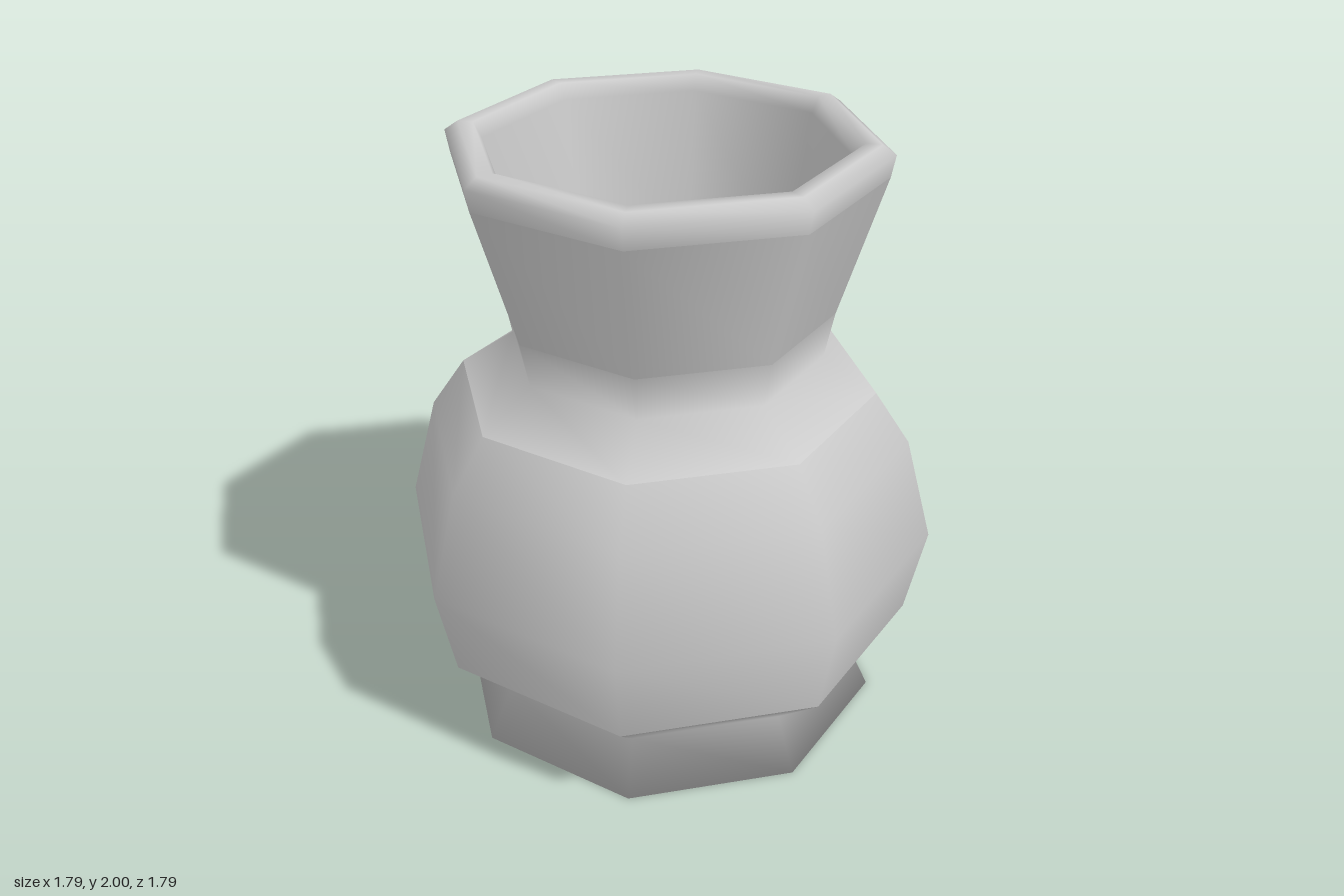
import * as THREE from 'three';

// Eight-sided vase turned from short profiles. Each profile is smooth inside,
// and the breaks between profiles give the sharp creases.
export function createModel() {
  const group = new THREE.Group();
  group.name = 'vase';
  const material = new THREE.MeshStandardMaterial({ color: 0xcccccc, side: THREE.DoubleSide });

  function turn(name, profile) {
    const points = profile.map(([r, y]) => new THREE.Vector2(r, y));
    const mesh = new THREE.Mesh(new THREE.LatheGeometry(points, 8), material);
    mesh.name = name;
    group.add(mesh);
  }

  // Flat base, flared foot and undercut
  turn('foot', [[0, 0], [0.725, 0], [0.64, 0.18], [0.83, 0.35]]);

  // Round body, shoulder and flared neck
  turn('body', [[0.83, 0.35], [0.893, 0.65], [0.8, 1.0], [0.685, 1.17]]);
  turn('shoulder', [[0.685, 1.17], [0.51, 1.29], [0.54, 1.44]]);
  turn('neck', [[0.54, 1.44], [0.68, 1.9]]);

  // Rounded lip running smoothly into the inside of the neck
  turn('rim', [[0.68, 1.9], [0.693, 1.97], [0.65, 2.0], [0.6, 2.0], [0.575, 1.95], [0.49, 1.44], [0.475, 1.29]]);

  // Inside of the body and foot, close behind the outer wall
  turn('bodyInside', [[0.475, 1.29], [0.65, 1.15], [0.76, 0.98], [0.85, 0.65], [0.79, 0.37], [0.6, 0.19]]);
  turn('footInside', [[0.6, 0.19], [0.67, 0.04], [0, 0.04]]);

  return group;
}
